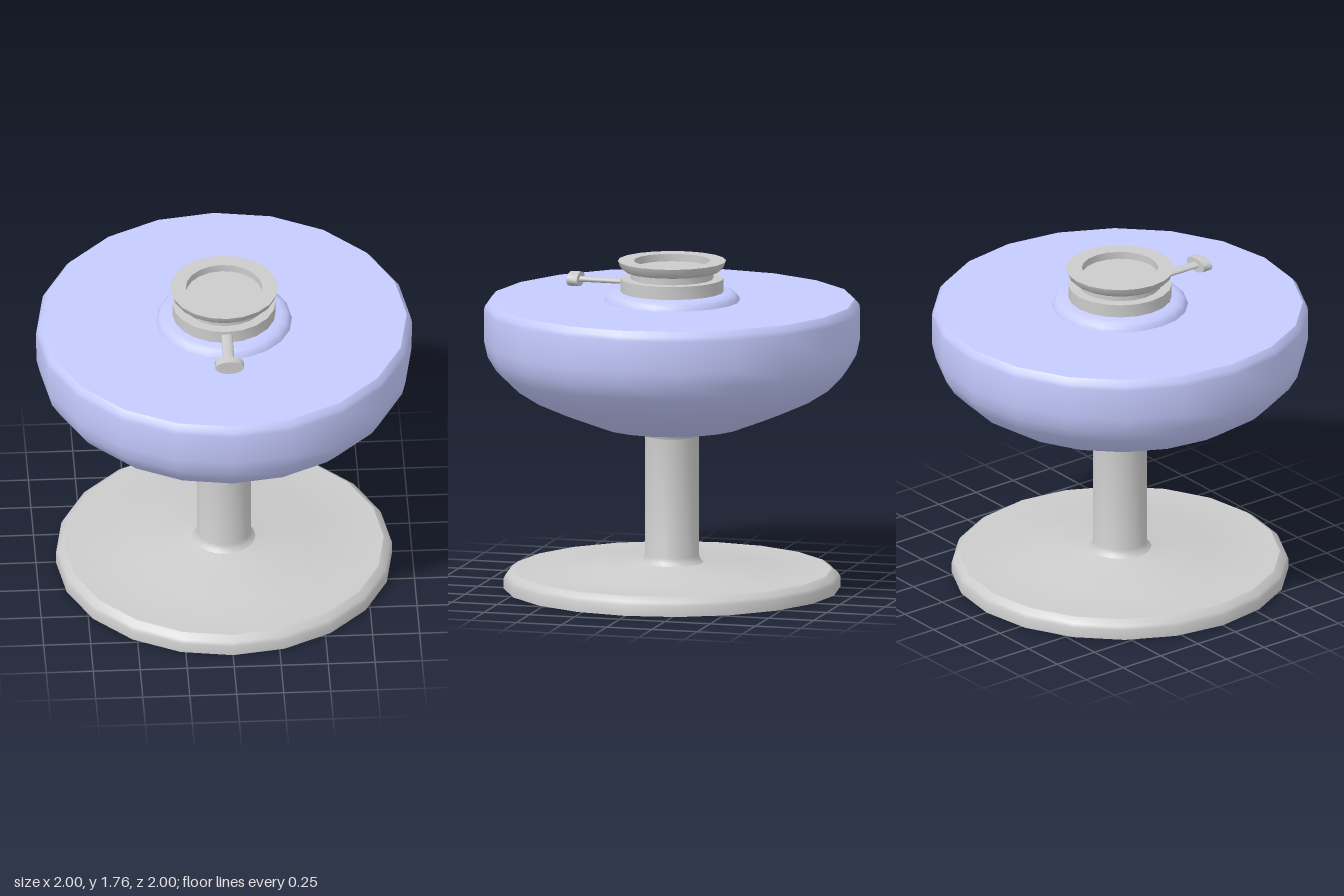
import * as THREE from 'three';
import { toCreasedNormals } from 'three/addons/utils/BufferGeometryUtils.js';

const SIDES = 20;
const grey = new THREE.MeshStandardMaterial({ color: 0xcccccc });
const blue = new THREE.MeshStandardMaterial({ color: 0xc5cbff });

// Turned part from [radius, height] points listed bottom to top
function turned(name, profile, material) {
  const points = profile.map(([r, y]) => new THREE.Vector2(r, y));
  const geometry = toCreasedNormals(new THREE.LatheGeometry(points, SIDES), 0.6);
  const mesh = new THREE.Mesh(geometry, material);
  mesh.name = name;
  return mesh;
}

// Cylinder lying along z from z0 to z1, centred on the group axis
function rod(name, radius, z0, z1, sides) {
  const geometry = new THREE.CylinderGeometry(radius, radius, z1 - z0, sides);
  geometry.rotateX(Math.PI / 2).translate(0, 0, (z0 + z1) / 2);
  const mesh = new THREE.Mesh(toCreasedNormals(geometry, 0.6), grey);
  mesh.name = name;
  return mesh;
}

export function createModel() {
  const model = new THREE.Group();
  model.name = 'pedestalBowl';

  // Foot plate with a raised disc and a small step around the column
  model.add(turned('base', [
    [0, 0], [0.895, 0], [0.895, 0.055], [0.885, 0.075], [0.85, 0.1],
    [0.51, 0.102], [0.445, 0.124], [0.24, 0.125], [0.2, 0.14], [0, 0.14],
  ], grey));

  // Column flaring out at the foot, with a thin collar under the bowl
  model.add(turned('column', [
    [0.17, 0.138], [0.152, 0.155], [0.143, 0.18], [0.143, 0.825],
    [0.165, 0.828], [0.172, 0.845], [0, 0.85],
  ], grey));

  // Rounded body with a flat, slightly chamfered top
  model.add(turned('body', [
    [0, 0.84], [0.2, 0.846], [0.39, 0.88], [0.59, 0.958], [0.75, 1.03],
    [0.86, 1.1], [0.935, 1.175], [0.98, 1.25], [0.998, 1.33], [1, 1.5],
    [0.995, 1.525], [0.972, 1.552], [0, 1.552],
  ], blue));

  // Domed ring beneath the neck
  model.add(turned('topRing', [
    [0.362, 1.55], [0.355, 1.572], [0.338, 1.59], [0.31, 1.6], [0, 1.602],
  ], blue));

  // Collar, narrow neck and flared lip with a shallow recess
  model.add(turned('neck', [
    [0.275, 1.6], [0.275, 1.67], [0.22, 1.67], [0.22, 1.705],
    [0.25, 1.71], [0.275, 1.73], [0.288, 1.765], [0.203, 1.765],
    [0.203, 1.725], [0, 1.725],
  ], grey));

  // Flattened thumbscrew at the front of the collar
  const screw = new THREE.Group();
  screw.name = 'thumbscrew';
  screw.add(rod('screwShaft', 0.03, 0.2, 0.52, 12));
  screw.add(rod('screwHead', 0.077, 0.505, 0.562, 12));
  screw.position.y = 1.641;
  screw.scale.y = 0.5;
  model.add(screw);

  return model;
}
